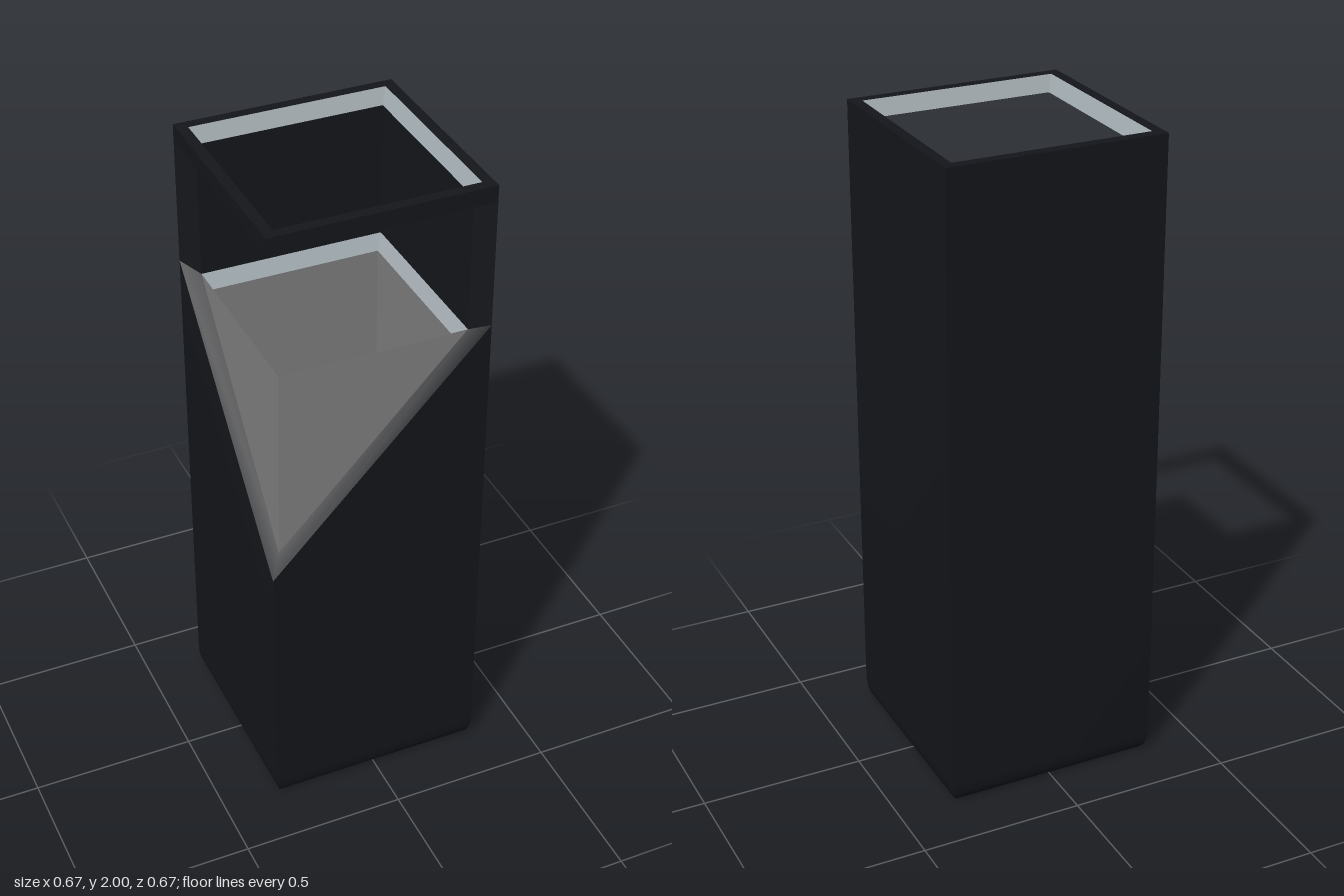
import * as THREE from 'three';
import { toCreasedNormals } from 'three/addons/utils/BufferGeometryUtils.js';

// Corner order: front right-hand (-x,+z), (+x,+z), (+x,-z), (-x,-z)
const CORNERS = [[-1, 1], [1, 1], [1, -1], [-1, -1]];
const ALL = [0, 1, 2, 3];
const OPEN = [0, 3]; // front and -x sides, cut away
const CLOSED = [1, 2]; // +x and back sides, full height

// Square loop; half size and height may vary per corner
function loop(half, y) {
  const at = (v, i) => (Array.isArray(v) ? v[i] : v);
  return CORNERS.map(([x, z], i) => new THREE.Vector3(x * at(half, i), at(y, i), z * at(half, i)));
}

// Skins consecutive loops on the chosen sides; rising loops face outward
function skin(loops, sides = ALL) {
  const quads = [];
  for (let k = 0; k + 1 < loops.length; k++) {
    for (const i of sides) {
      const j = (i + 1) % 4;
      quads.push([loops[k][i], loops[k][j], loops[k + 1][j], loops[k + 1][i]]);
    }
  }
  return quads;
}

function makeMesh(name, material, quads) {
  const points = [];
  for (const [a, b, c, d] of quads) {
    for (const tri of [[a, b, c], [a, c, d]]) {
      if (new THREE.Triangle(...tri).getArea() > 1e-7) points.push(...tri);
    }
  }
  const geometry = new THREE.BufferGeometry().setFromPoints(points);
  const mesh = new THREE.Mesh(toCreasedNormals(geometry, 0.5), material);
  mesh.name = name;
  return mesh;
}

export function createModel() {
  const black = new THREE.MeshStandardMaterial({ color: 0x14161b });
  const grey = new THREE.MeshStandardMaterial({ color: 0x808080 });
  const steel = new THREE.MeshStandardMaterial({ color: 0xaab4b9 });

  const W = 0.333, IN = 0.285, TOP = 2, FRAME = 1.95, LINER = 1.53;
  const outerCut = loop(W, [0.865, 1.56, 1.56, 1.56]);
  const innerCut = loop([0.3, IN, IN, IN], [0.935, LINER, LINER, LINER]);
  const outerFrame = loop(W, FRAME), innerFrame = loop(IN, FRAME);

  // Lower body: flat base, rounded bottom edge, walls up to the slanted cut
  const base = [[0, 0], [0.303, 0], [0.314, 0.004], [0.323, 0.015], [0.33, 0.035], [W, 0.065]];
  const body = makeMesh('body', black, [
    ...skin([...base.map(([h, y]) => loop(h, y)), outerCut]),
    ...skin([outerCut, innerCut], OPEN),
  ]);

  // Two tall walls with mitred ends beside the opening
  const [, ob, , od] = outerCut, [, ib, , id] = innerCut;
  const walls = makeMesh('tallWalls', black, [
    ...skin([outerCut, outerFrame], CLOSED),
    ...skin([innerFrame, innerCut], CLOSED),
    [ib, ob, outerFrame[1], innerFrame[1]],
    [od, id, innerFrame[3], outerFrame[3]],
  ]);

  // Square frame round the top
  const frame = makeMesh('topFrame', black, [
    ...skin([innerFrame, outerFrame], OPEN),
    ...skin([outerFrame, loop(W, TOP), loop(0.3, TOP)]),
  ]);
  const frameBevel = makeMesh('frameBevel', steel, skin([loop(0.3, TOP), innerFrame]));

  // Inner bin rising out of the slanted cut
  const lipLow = loop(0.268, 1.48);
  const liner = makeMesh('liner', grey, [
    ...skin([innerCut, loop(IN, LINER)], OPEN),
    ...skin([lipLow, loop(0.268, 0.06), loop(0, 0.06)]),
  ]);
  const lip = makeMesh('linerLip', steel, skin([loop(IN, LINER), lipLow]));

  const model = new THREE.Group();
  model.name = 'litterBin';
  model.add(body, walls, frame, frameBevel, liner, lip);
  return model;
}
